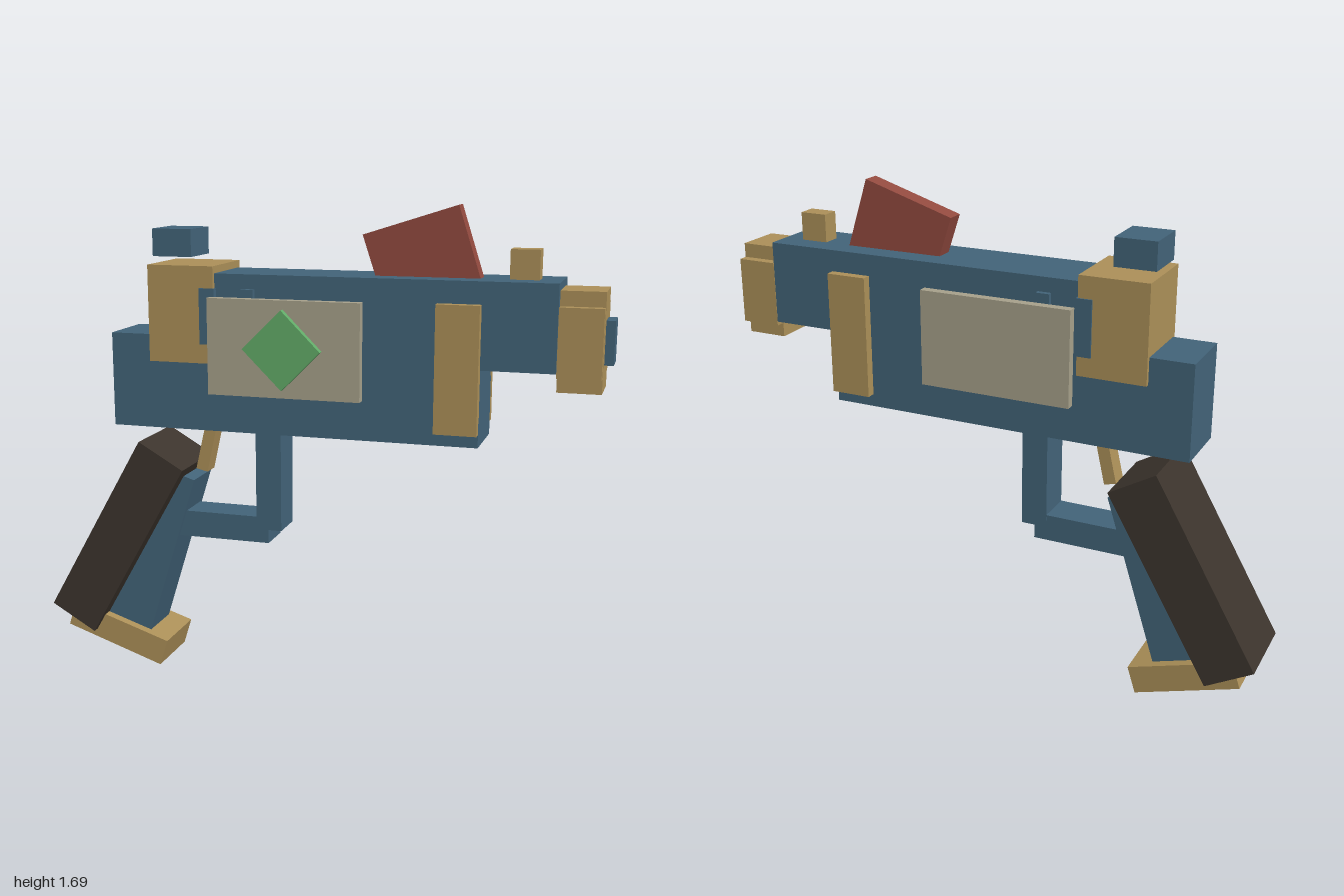
import * as THREE from 'three';

const CZ = -0.0125; // centre plane of the body

const mat = (name, color) => {
  const m = new THREE.MeshStandardMaterial({ color });
  m.name = name;
  return m;
};

export function createModel() {
  const blue = mat('steelBlue', 0x426378);
  const brass = mat('brass', 0xab8f58);
  const ivory = mat('ivory', 0xa6a08a);
  const green = mat('green', 0x62ab68);
  const red = mat('red', 0x924a3f);
  const dark = mat('darkBrown', 0x3c342d);

  const group = new THREE.Group();
  group.name = 'blaster';

  // Axis-aligned box from its x, y and z ranges
  const box = (name, material, x0, x1, y0, y1, z0, z1) => {
    const mesh = new THREE.Mesh(new THREE.BoxGeometry(x1 - x0, y1 - y0, z1 - z0), material);
    mesh.position.set((x0 + x1) / 2, (y0 + y1) / 2, (z0 + z1) / 2);
    mesh.name = name;
    group.add(mesh);
  };
  // Box centred on the body plane, with half depth h
  const midBox = (name, material, x0, x1, y0, y1, h) =>
    box(name, material, x0, x1, y0, y1, CZ - h, CZ + h);

  // Side outline extruded across the body plane, with half depth h
  const slab = (name, material, points, h, z = CZ) => {
    const shape = new THREE.Shape(points.map(([x, y]) => new THREE.Vector2(x, y)));
    const geo = new THREE.ExtrudeGeometry(shape, { depth: 2 * h, bevelEnabled: false });
    geo.translate(0, 0, z - h);
    const mesh = new THREE.Mesh(geo, material);
    mesh.name = name;
    group.add(mesh);
  };

  // Body: long lower frame with the barrel housing above it
  slab('body', blue, [
    [-0.73, 0.905], [0.58, 0.905], [0.58, 1.165], [0.825, 1.165],
    [0.825, 1.455], [-0.57, 1.455], [-0.57, 1.237], [-0.73, 1.237],
  ], 0.1165);

  // Rear block and sight
  midBox('rearBlock', brass, -0.58, -0.34, 1.145, 1.48, 0.1325);
  midBox('rearSight', blue, -0.58, -0.437, 1.505, 1.6, 0.083);
  midBox('rearClip', blue, -0.39, -0.335, 1.212, 1.405, 0.138);
  midBox('smallClip', blue, -0.242, -0.195, 1.212, 1.405, 0.135);

  // Front bands, one on each side
  for (const s of [-1, 1]) {
    const a = CZ + s * 0.11, b = CZ + s * 0.15;
    box('frontBand', brass, 0.435, 0.58, 0.95, 1.38, Math.min(a, b), Math.max(a, b));
  }

  // Side panels and the diamond
  box('leftPanel', ivory, -0.34, 0.195, 1.05, 1.38, 0.147, 0.18);
  box('rightPanel', ivory, -0.34, 0.195, 1.05, 1.38, -0.204, -0.172);
  slab('diamond', green, [[-0.207, 1.215], [-0.07, 1.08], [0.065, 1.215], [-0.07, 1.35]], 0.012, 0.192);

  // Muzzle: two crossed blocks and a tip
  midBox('muzzleTall', brass, 0.825, 0.97, 1.1, 1.43, 0.083);
  midBox('muzzleWide', brass, 0.826, 0.969, 1.15, 1.38, 0.1165);
  midBox('muzzleTip', blue, 0.96, 1.0, 1.19, 1.335, 0.048);

  // Top fin and front sight
  slab('fin', red, [[0.21, 1.44], [0.565, 1.44], [0.483, 1.692], [0.16, 1.59]], 0.033);
  midBox('frontSight', brass, 0.655, 0.752, 1.45, 1.553, 0.033);

  // Trigger and guard
  slab('trigger', brass, [[-0.455, 0.742], [-0.412, 0.732], [-0.372, 0.91], [-0.416, 0.91]], 0.033);
  midBox('guardFront', blue, -0.215, -0.122, 0.543, 0.906, 0.066);
  midBox('guardBottom', blue, -0.53, -0.17, 0.494, 0.589, 0.0655);

  // Handle, grip and base
  slab('handle', blue, [[-0.632, 0.118], [-0.445, 0.71], [-0.635, 0.768], [-0.82, 0.178]], 0.083);
  slab('grip', dark, [[-1.0, 0.207], [-0.835, 0.113], [-0.465, 0.757], [-0.63, 0.852]], 0.1425);
  slab('handleBase', brass, [[-0.95, 0.12], [-0.583, 0.0], [-0.553, 0.095], [-0.92, 0.212]], 0.1165);

  return group;
}
